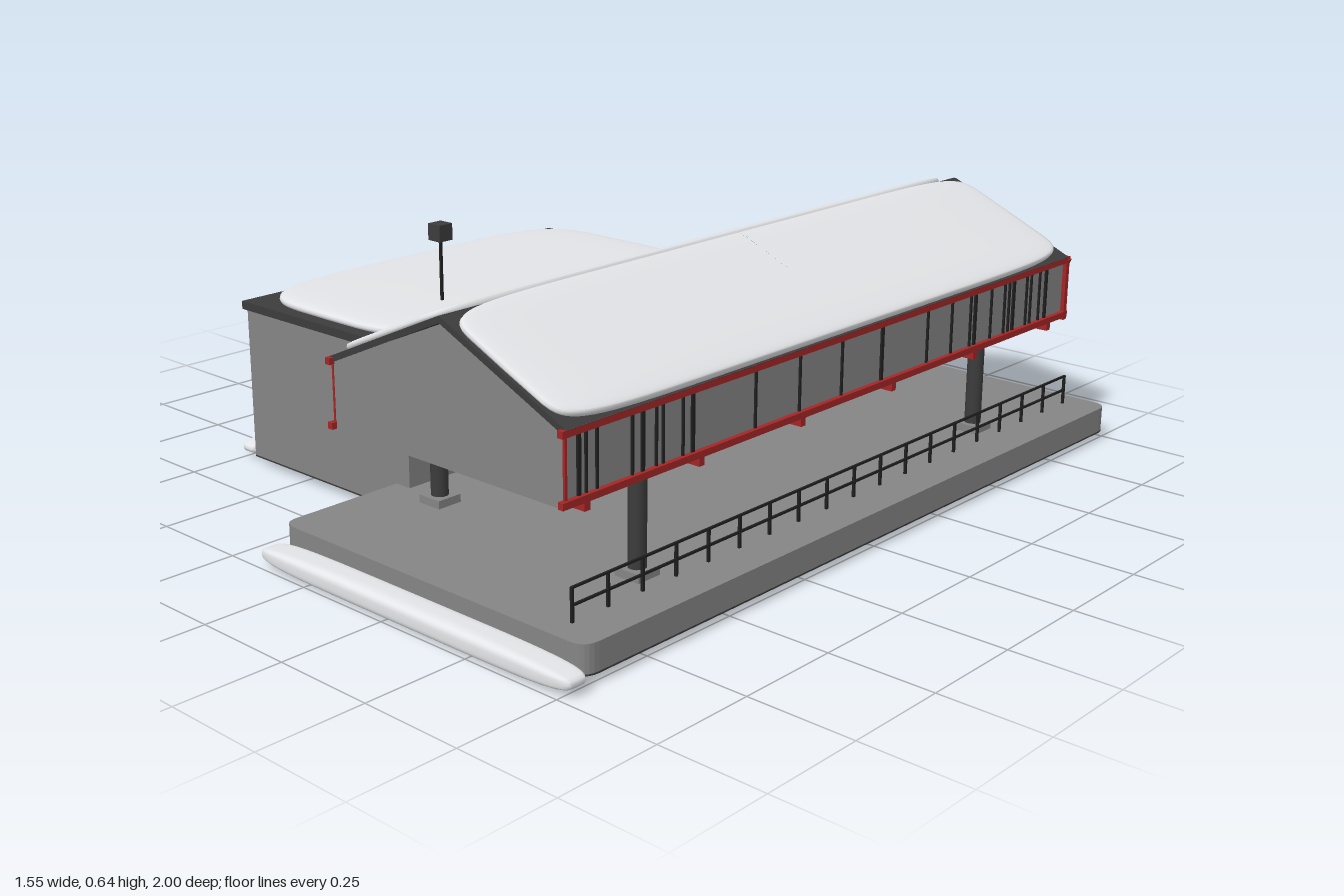
import * as THREE from 'three';
import { mergeVertices } from 'three/addons/utils/BufferGeometryUtils.js';

const mat = (name, hex) => {
  const m = new THREE.MeshStandardMaterial({ color: hex });
  m.name = name;
  return m;
};

export function createModel() {
  const root = new THREE.Group();
  root.name = 'station';
  const concrete = mat('concrete grey', 0x858585);
  const dark = mat('dark roofing', 0x3c3c3c);
  const black = mat('black metal', 0x202020);
  const red = mat('red steel', 0xa52626);
  const snow = mat('snow', 0xe4e5e8);
  const glass = mat('pale glass', 0xa8acae);

  const add = (name, geo, material, x = 0, y = 0, z = 0, parent = root) => {
    const m = new THREE.Mesh(geo, material);
    m.name = name;
    m.position.set(x, y, z);
    parent.add(m);
    return m;
  };
  // box given by its minimum and maximum corners
  const span = (name, material, x0, x1, y0, y1, z0, z1, parent = root) =>
    add(name, new THREE.BoxGeometry(x1 - x0, y1 - y0, z1 - z0), material,
      (x0 + x1) / 2, (y0 + y1) / 2, (z0 + z1) / 2, parent);

  // soft snow pad: a sphere squared off into a superellipsoid
  const pad = (w, h, d, plan, side) => {
    let g = new THREE.SphereGeometry(1, 64, 24);
    const p = g.attributes.position;
    const f = (v, e) => Math.sign(v) * Math.pow(Math.abs(v), e);
    for (let i = 0; i < p.count; i++) {
      const y = THREE.MathUtils.clamp(p.getY(i), -1, 1);
      const r = Math.sqrt(1 - y * y);
      const a = Math.atan2(p.getZ(i), p.getX(i));
      const s = f(r, side);
      p.setXYZ(i, s * f(Math.cos(a), plan) * w / 2, f(y, side) * h / 2, s * f(Math.sin(a), plan) * d / 2);
    }
    g.deleteAttribute('uv');
    g.deleteAttribute('normal');
    g = mergeVertices(g, 1e-5);
    g.computeVertexNormals();
    return g;
  };

  // platform with rounded corners and a dark underside
  const slab = (x0, x1, z0, z1, h, r) => {
    const s = new THREE.Shape();
    s.moveTo(x0 + r, -z1);
    s.lineTo(x1 - r, -z1);
    s.quadraticCurveTo(x1, -z1, x1, -z1 + r);
    s.lineTo(x1, -z0 - r);
    s.quadraticCurveTo(x1, -z0, x1 - r, -z0);
    s.lineTo(x0 + r, -z0);
    s.quadraticCurveTo(x0, -z0, x0, -z0 - r);
    s.lineTo(x0, -z1 + r);
    s.quadraticCurveTo(x0, -z1, x0 + r, -z1);
    return new THREE.ExtrudeGeometry(s, { depth: h, bevelEnabled: false, curveSegments: 6 }).rotateX(-Math.PI / 2);
  };
  add('platform', slab(-0.15, 0.76, -1, 0.935, 0.062, 0.04), concrete, 0, 0.024, 0);
  add('platformUnderside', slab(-0.15, 0.76, -1, 0.935, 0.004, 0.04), dark, 0, 0.02, 0);
  add('frontSnowBank', pad(0.94, 0.05, 0.075, 0.35, 0.6), snow, 0.302, 0.027, 0.962);

  // side building
  span('buildingWalls', concrete, -0.685, -0.105, 0.024, 0.4, -0.42, 0.61);
  span('buildingUnderside', dark, -0.685, -0.105, 0.02, 0.024, -0.42, 0.61);
  span('buildingRoof', dark, -0.692, -0.095, 0.4, 0.42, -0.43, 0.62);
  add('buildingRoofSnow', pad(0.57, 0.035, 1.01, 0.42, 0.5), snow, -0.395, 0.432, 0.095);
  add('sideSnowBank', pad(0.085, 0.05, 1.04, 0.45, 0.6), snow, -0.735, 0.025, 0.08);
  span('roofPole', black, -0.267, -0.261, 0.42, 0.6, 0.352, 0.358);
  span('poleBox', dark, -0.284, -0.244, 0.595, 0.635, 0.335, 0.375);

  // windows and door: dark frame with pale panes on top
  const win = (name, parent, cx, y0, w, h, panes) => {
    add(name + 'Frame', new THREE.BoxGeometry(w, h, 0.009), black, cx, y0 + h / 2, 0.0045, parent);
    const pw = w / panes;
    for (let i = 0; i < panes; i++) {
      add(name + 'Pane', new THREE.BoxGeometry(pw - 0.014, h - 0.018, 0.003), glass,
        cx - w / 2 + pw * (i + 0.5), y0 + h / 2, 0.0095, parent);
    }
  };
  const sideWall = new THREE.Group();
  sideWall.name = 'sideWallDetails';
  sideWall.position.x = -0.685;
  sideWall.rotation.y = -Math.PI / 2; // local x runs along world z
  root.add(sideWall);
  for (const z of [-0.16, 0.155, 0.475]) win('sideWindow', sideWall, z, 0.24, 0.15, 0.085, 2);
  for (let z = -0.055; z < 0.39; z += 0.022) {
    if (z > 0.07 && z < 0.24) {
      span('wallRib', black, z, z + 0.007, 0.03, 0.235, 0, 0.006, sideWall);
      span('wallRib', black, z, z + 0.007, 0.33, 0.4, 0, 0.006, sideWall);
    } else span('wallRib', black, z, z + 0.01, 0.03, 0.4, 0, 0.006, sideWall);
  }
  const backWall = new THREE.Group();
  backWall.name = 'backWallDetails';
  backWall.position.z = -0.42;
  backWall.rotation.y = Math.PI; // local x is world -x
  root.add(backWall);
  win('backWindow', backWall, 0.31, 0.1, 0.22, 0.095, 4);
  win('door', backWall, 0.483, 0.026, 0.105, 0.17, 1);

  // raised hall
  const ridgeX = 0.307;
  const hall = new THREE.Shape();
  [[-0.03, 0.31], [0.644, 0.31], [0.644, 0.465], [ridgeX, 0.61], [-0.03, 0.465]]
    .forEach(([x, y], i) => (i ? hall.lineTo(x, y) : hall.moveTo(x, y)));
  add('hallBody', new THREE.ExtrudeGeometry(hall, { depth: 1.805, bevelEnabled: false }), concrete, 0, 0, -0.935);

  const mullions = [0.83, 0.81, 0.78, 0.68, 0.65, 0.61, 0.59, 0.53, 0.5, 0.3, 0.15, 0, -0.15, -0.33,
    -0.43, -0.51, -0.53, -0.6, -0.66, -0.68, -0.7, -0.76, -0.78, -0.82, -0.85];
  for (const s of [-1, 1]) {
    const wallX = ridgeX + s * 0.337;
    const slope = s * -0.42;
    // roof slope, its snow and the red rake at the back
    const cx = ridgeX + s * 0.173;
    const slabMesh = add('roofSlope', new THREE.BoxGeometry(0.38, 0.014, 1.81), dark, cx, 0.543, -0.033);
    slabMesh.rotation.z = slope;
    const snowMesh = add('roofSnow', pad(0.375, 0.03, 1.8, 0.22, 0.45), snow, cx + s * 0.003, 0.556, -0.033);
    snowMesh.rotation.z = slope;
    const rake = add('backRake', new THREE.BoxGeometry(0.385, 0.018, 0.012), red, cx, 0.536, -0.941);
    rake.rotation.z = slope;
    // side rails, corner posts and window bars
    for (const y of [0.322, 0.465]) {
      add('sideRail', new THREE.BoxGeometry(0.014, 0.015, 1.83), red, wallX + s * 0.005, y, -0.032);
    }
    add('backCornerPost', new THREE.BoxGeometry(0.014, 0.165, 0.014), red, wallX + s * 0.003, 0.39, -0.94);
    add('frontCornerPost', new THREE.BoxGeometry(0.006, 0.15, 0.006), red, wallX + s * 0.003, 0.39, 0.868);
    mullions.forEach((z, i) =>
      add('windowBar', new THREE.BoxGeometry(0.006, 0.13, i % 4 ? 0.005 : 0.009), black, wallX + s * 0.002, 0.394, z));
    // columns and footings
    for (const z of [0.62, -0.61]) {
      const x = ridgeX + s * 0.298;
      add('column', new THREE.CylinderGeometry(0.02, 0.02, 0.21, 20), dark, x, 0.205, z);
      add('footing', new THREE.BoxGeometry(0.065, 0.02, 0.065), concrete, x, 0.095, z);
    }
  }
  span('backSill', red, -0.037, 0.651, 0.31, 0.328, -0.947, -0.934);

  // red beams and dark lamps under the floor
  for (let i = 0; i < 6; i++) {
    add('crossBeam', new THREE.BoxGeometry(0.685, 0.022, 0.016), red, ridgeX, 0.304, 0.81 - i * 0.336);
  }
  for (const x of [0.14, 0.475]) {
    span('lampRail', black, x - 0.005, x + 0.005, 0.296, 0.31, -0.84, 0.75);
    for (let i = 0; i < 22; i++) {
      add('lamp', new THREE.CylinderGeometry(0.01, 0.01, 0.016, 10), black, x, 0.293, 0.51 - i * 0.063);
    }
  }

  // railing along the platform edge
  for (const y of [0.122, 0.159]) span('handrail', black, 0.664, 0.669, y - 0.0025, y + 0.0025, -0.94, 0.875);
  for (let i = 0; i <= 18; i++) {
    add('railPost', new THREE.BoxGeometry(0.006, 0.076, 0.006), black, 0.6665, 0.122, 0.872 - i * 0.1005);
  }
  return root;
}
